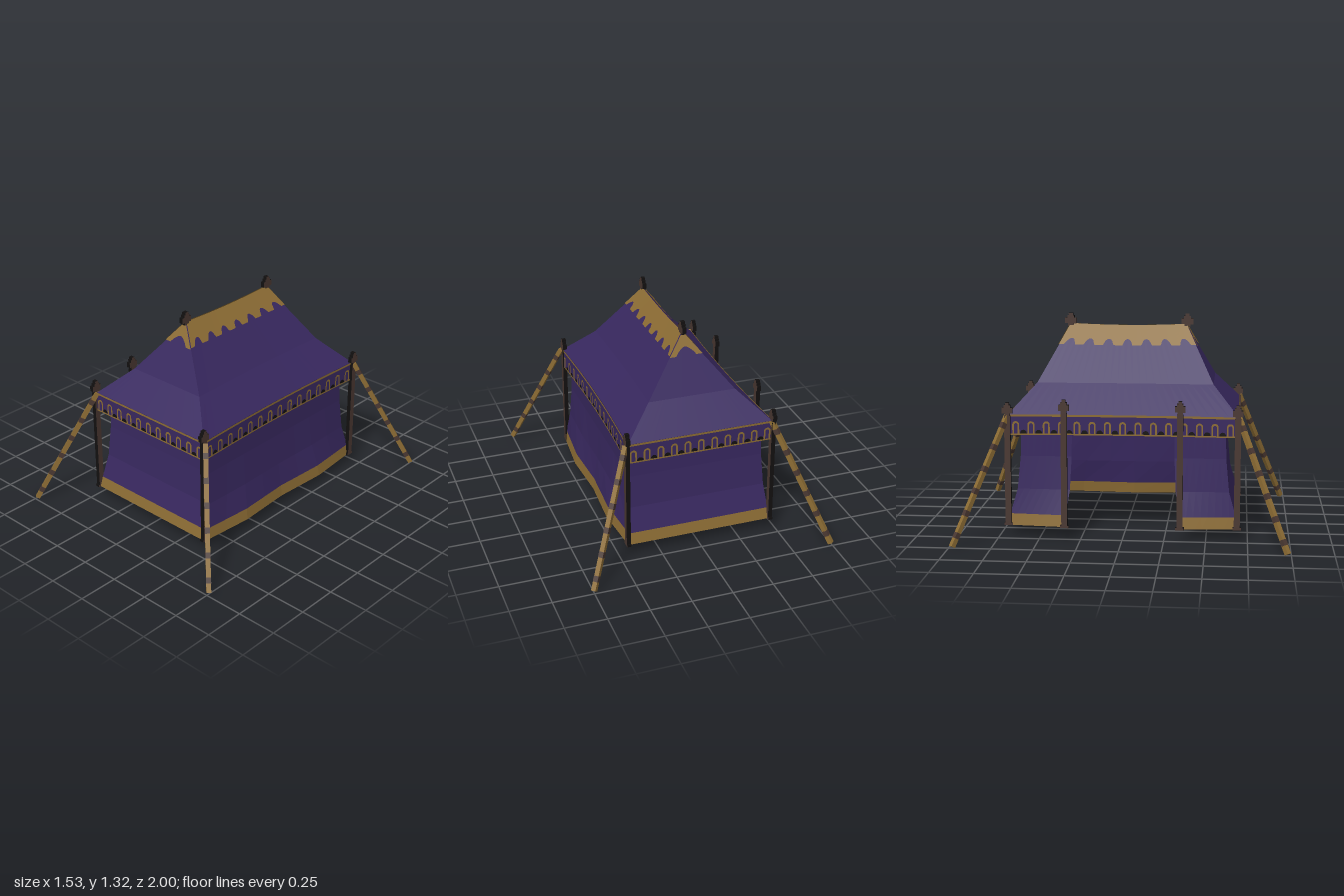
import * as THREE from 'three';
import { mergeGeometries } from 'three/addons/utils/BufferGeometryUtils.js';

const material = (name, color) => {
  const m = new THREE.MeshStandardMaterial({ color, side: THREE.DoubleSide });
  m.name = name;
  return m;
};

// Faceted cloth: fn(a, b) gives a point for every pair of grid parameters
function grid(fn, as, bs) {
  const pos = [];
  const put = (i, j) => pos.push(...fn(as[i], bs[j]));
  for (let i = 0; i < as.length - 1; i++) {
    for (let j = 0; j < bs.length - 1; j++) {
      put(i, j); put(i + 1, j); put(i + 1, j + 1);
      put(i, j); put(i + 1, j + 1); put(i, j + 1);
    }
  }
  const g = new THREE.BufferGeometry();
  g.setAttribute('position', new THREE.Float32BufferAttribute(pos, 3));
  g.computeVertexNormals();
  return g;
}
const range = (from, to, n) => Array.from({ length: n + 1 }, (_, i) => from + (to - from) * i / n);
const mix = THREE.MathUtils.lerp;

function sample(xs, ys, x) {
  let i = 0;
  while (i < xs.length - 2 && x > xs[i + 1]) i++;
  return mix(ys[i], ys[i + 1], (x - xs[i]) / (xs[i + 1] - xs[i]));
}

// Four sides of the tent: long ones face x, short ones face z
const SIDES = [
  { name: 'left', long: true, s: 1 }, { name: 'right', long: true, s: -1 },
  { name: 'front', long: false, s: 1 }, { name: 'back', long: false, s: -1 },
];
const HX = 0.45, HZ = 0.69;

// Point on the eave line, a from -1 to 1 along the side, pushed out by off
function eave({ long, s }, a, y, off = 0) {
  return long ? [s * (HX - 0.02 * (1 - a * a) + off), y, HZ * a] : [HX * a, y, s * (HZ + off)];
}

// Roof slope: t = 0 ridge, 1 bend, 2 eave
function roof(side, a, t, off = 0) {
  const { long, s } = side;
  const levels = [[0, 1.26, 0.36], [0.27, 0.925, 0.535], [HX, 0.755, HZ]];
  const i = t < 1 ? 0 : 1, f = t - i;
  const [x, y, z] = levels[i].map((v, k) => mix(v, levels[i + 1][k], f));
  const sag = long ? 1 - a * a : 0;
  return long
    ? [s * (x - 0.01 * t * sag + off), y - 0.01 * sag * Math.max(0, 1 - t) + off, z * a]
    : [x * a, y + off, s * (z + off)];
}

// Hanging wall that flares towards the ground
const WY = [0.08, 0.15, 0.3, 0.5, 0.75];
function wall({ long, s }, a, y) {
  const x = sample(WY, [0.455, 0.447, 0.43, 0.418, 0.415], y);
  const z = sample(WY, [0.695, 0.68, 0.637, 0.618, 0.612], y);
  if (!long) return [x * a, y, s * z];
  const bulge = sample([0, 0.5, 1], [0.01, 0.03, 0], Math.abs(a));
  return [s * (x + bulge * sample(WY, [1, 0.9, 0.3, 0, 0], y)), y, z * a];
}

// Moves a flat drawing (x along the side, y up) onto the valance
function wrap(geo, side, off) {
  const p = geo.attributes.position, half = side.long ? HZ : HX;
  for (let i = 0; i < p.count; i++) {
    p.setXYZ(i, ...eave(side, p.getX(i) / half, p.getY(i), off));
  }
  geo.computeVertexNormals();
  return geo;
}

function archShape() {
  const arch = new THREE.Shape();
  arch.moveTo(0.021, 0.637).lineTo(0.021, 0.696);
  arch.absarc(0, 0.696, 0.021, 0, Math.PI, false);
  arch.lineTo(-0.021, 0.637).lineTo(-0.011, 0.637).lineTo(-0.011, 0.694);
  arch.absarc(0, 0.694, 0.011, Math.PI, 0, true);
  arch.lineTo(0.011, 0.637);
  return arch;
}
function tipShape() {
  const tip = new THREE.Shape();
  tip.moveTo(-0.02, 0.643).lineTo(0.02, 0.643);
  tip.absellipse(0, 0.643, 0.02, 0.022, 0, Math.PI, false);
  return tip;
}

// Stepped cross head, h is the lower end and w the half width
const HEAD = [[0.5, 0], [0.5, 0.015], [1, 0.015], [1, 0.05], [0.6, 0.05], [0.6, 0.065], [0.35, 0.065], [0.35, 0.08]];
function cutout(outline) {
  const pts = [...outline, ...outline.map(([x, y]) => [-x, y]).reverse()];
  const shape = new THREE.Shape(pts.map(([x, y]) => new THREE.Vector2(x, y)));
  const g = new THREE.ExtrudeGeometry(shape, { depth: 0.026, bevelEnabled: false });
  return g.translate(0, 0, -0.013).rotateY(Math.PI / 2);
}
const head = (y, w) => HEAD.map(([x, h]) => [x * w, y + h]);

export function createModel() {
  const purple = material('purple cloth', 0x38285f);
  const gold = material('gold trim', 0x8c6c34);
  const brown = material('brown wood', 0x4a3832);
  const black = material('black edge', 0x121010);

  const root = new THREE.Group();
  root.name = 'tent';
  const cloth = new THREE.Group();
  cloth.name = 'cloth';
  cloth.position.x = -0.008;
  root.add(cloth);
  const add = (parent, name, geo, mat) => {
    const m = new THREE.Mesh(geo, mat);
    m.name = name;
    parent.add(m);
    return m;
  };

  for (const side of SIDES) {
    const { name, long } = side;
    const along = range(-1, 1, 24);

    // Roof slope and its scalloped ridge trim
    add(cloth, name + 'Roof', grid((a, t) => roof(side, a, t), along, [0, 1, 2]), purple);
    const depth = (a) => long
      ? 0.36 - 0.11 * Math.sqrt(Math.max(0, Math.cos(2 * Math.PI * 3.53 * a)))
      : 0.38 - 0.14 * Math.sqrt(Math.max(0, Math.cos(Math.PI * a / 1.2)));
    add(cloth, name + 'RidgeTrim',
      grid((a, f) => roof(side, a, f * depth(a), 0.004), range(-1, 1, 112), [0, 1]), gold);

    // Valance with eave line, arches, dark tips and hem
    add(cloth, name + 'Valance', grid((a, y) => eave(side, a, y), along, [0.635, 0.757]), purple);
    for (const [part, lo, hi] of [['EaveLine', 0.745, 0.758], ['Hem', 0.634, 0.643]]) {
      add(cloth, name + part, grid((a, y) => eave(side, a, y, 0.004), along, [lo, hi]), gold);
    }
    const count = long ? 15 : 11, pitch = long ? 0.0915 : 0.0835;
    const arches = [], tips = [];
    for (let i = 0; i < count; i++) {
      const c = (i - (count - 1) / 2) * pitch;
      arches.push(wrap(new THREE.ShapeGeometry(archShape(), 8).translate(c, 0, 0), side, 0.004));
      if (i) tips.push(wrap(new THREE.ShapeGeometry(tipShape(), 6).translate(c - pitch / 2, 0, 0), side, 0.004));
    }
    add(cloth, name + 'Arches', mergeGeometries(arches), gold);
    add(cloth, name + 'Tips', mergeGeometries(tips), black);

    // Walls, with a doorway in the middle of the right side
    const spans = name === 'right' ? [[-1, -0.5], [0.5, 1]] : [[-1, 1]];
    for (const [from, to] of spans) {
      const as = range(from, to, 8);
      add(cloth, name + 'Wall', grid((a, y) => wall(side, a, y), as, WY.slice(1)), purple);
      add(cloth, name + 'WallBand', grid((a, y) => wall(side, a, y), as, WY.slice(0, 2)), gold);
    }
  }

  // Corner and door posts, cut from flat boards
  const post = (name, x, z, top) => {
    const outline = [[0.026, 0.08], [0.026, 0.095], [0.018, 0.095], [0.018, top - 0.08], ...head(top - 0.08, 0.031)];
    add(root, name, cutout(outline), [brown, black]).position.set(x, 0, z);
  };
  post('cornerPost', -0.462, -0.69, 0.83);
  post('cornerPost', 0.448, -0.69, 0.83);
  post('cornerPost', -0.475, 0.685, 0.83);
  post('cornerPost', 0.437, 0.685, 0.83);
  for (const z of [-0.345, 0.345]) post('doorPost', -0.506, z, 0.857);

  // Ridge finials
  for (const z of [-0.36, 0.365]) {
    add(root, 'ridgeFinial', cutout(head(1.247, 0.036)), [brown, black]).position.set(-0.008, 0, z);
  }

  // Striped guy lines at the four corners
  for (const sx of [-1, 1]) {
    for (const sz of [-1, 1]) {
      const a = new THREE.Vector3(sx * 0.455, 0.755, sz * 0.69);
      const b = new THREE.Vector3(sx * 0.747, 0.013, sz * 0.98);
      const length = a.distanceTo(b);
      const line = new THREE.Group();
      line.name = 'guyLine';
      line.position.copy(a).lerp(b, 0.5);
      line.lookAt(b);
      add(line, 'rope', new THREE.BoxGeometry(0.028, 0.028, length), gold);
      for (let i = 0; i < 6; i++) {
        add(line, 'ropeStripe', new THREE.BoxGeometry(0.03, 0.03, 0.035), brown)
          .position.z = ((i + 0.5) / 6 - 0.5) * length;
      }
      root.add(line);
    }
  }
  return root;
}
